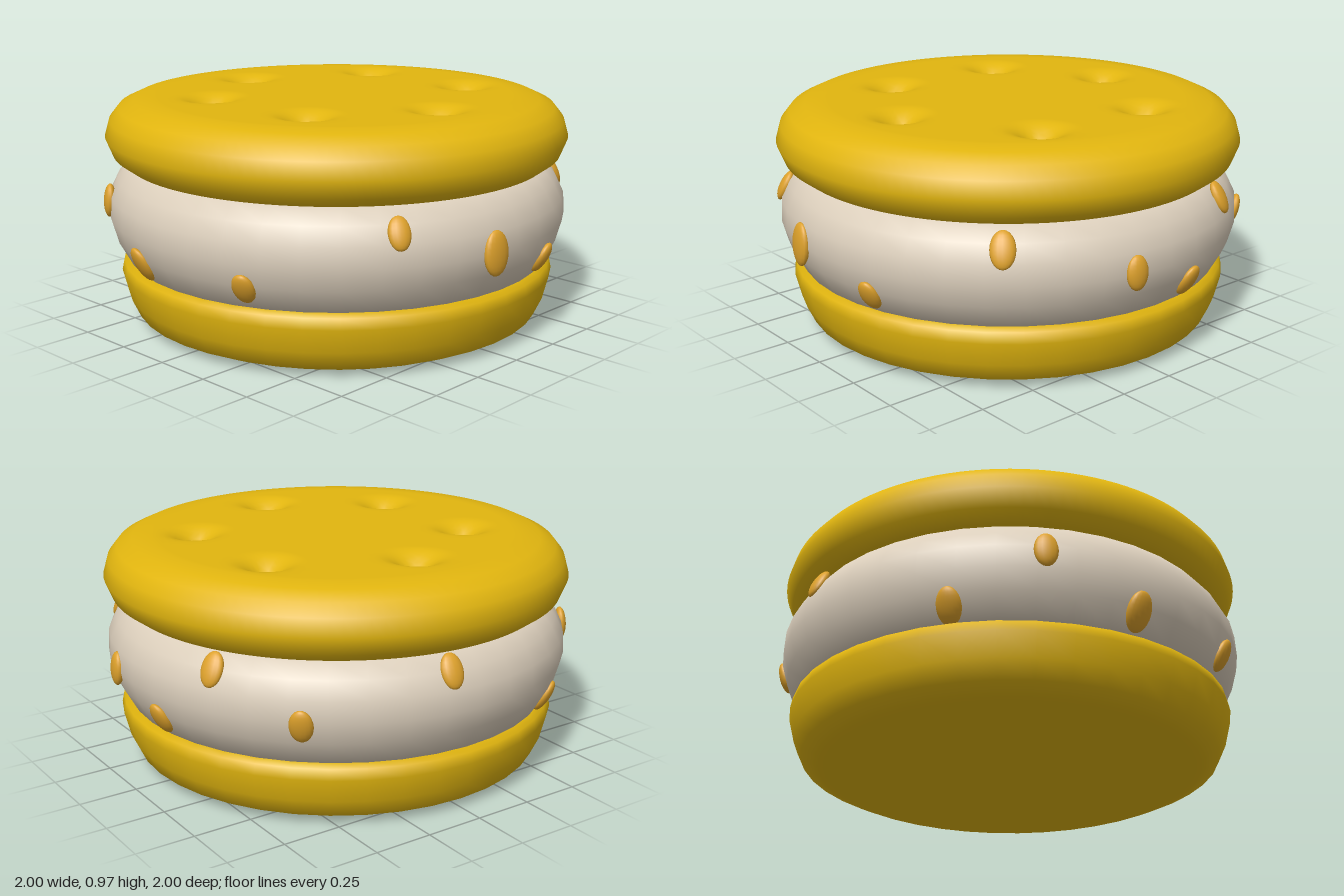
import * as THREE from 'three';
import { mergeVertices } from 'three/addons/utils/BufferGeometryUtils.js';

const cookieMat = new THREE.MeshStandardMaterial({ color: 0xe1b50f });
cookieMat.name = 'goldenCookie';
const fillingMat = new THREE.MeshStandardMaterial({ color: 0xdccfbc });
fillingMat.name = 'creamFilling';
const chipMat = new THREE.MeshStandardMaterial({ color: 0xdda12b });
chipMat.name = 'caramelChip';

// Profile of the filling, [radius, height] from bottom to top
const FILLING = [[0.8, 0.26], [0.91, 0.28], [0.965, 0.38], [0.99, 0.47], [0.985, 0.56], [0.95, 0.63], [0.9, 0.69], [0.8, 0.7]];
const BOTTOM = [[0, 0.005], [0.74, 0.005], [0.81, 0.01], [0.885, 0.045], [0.92, 0.12], [0.945, 0.22], [0.935, 0.265], [0.9, 0.28], [0, 0.28]];
const TOP_EDGE = [[0, 0.69], [0.85, 0.69], [0.91, 0.695], [0.965, 0.735], [0.995, 0.81], [0.975, 0.88], [0.935, 0.93], [0.87, 0.96], [0.79, 0.97]];
const DIMPLES = [[-0.29, -0.53], [0.28, -0.53], [-0.56, 0], [0.57, 0], [-0.29, 0.46], [0.28, 0.46]];

function lathe(name, profile, material, segments) {
  const points = profile.map(([r, y]) => new THREE.Vector2(r, y));
  const mesh = new THREE.Mesh(new THREE.LatheGeometry(points, segments), material);
  mesh.name = name;
  return mesh;
}

// Radius and outward slope of the filling at a height
function fillingAt(y) {
  const i = FILLING.findIndex((p, k) => k > 0 && p[1] >= y);
  const [r0, y0] = FILLING[i - 1], [r1, y1] = FILLING[i];
  const radius = r0 + (r1 - r0) * (y - y0) / (y1 - y0);
  return { radius, tilt: Math.atan2(r1 - r0, y1 - y0) };
}

// Top cookie: fine rings on its upper face, pressed down into funnel dimples
function topCookie() {
  const profile = [...TOP_EDGE];
  for (let r = 0.76; r > 0.01; r -= 0.025) profile.push([r, 0.97]);
  profile.push([0, 0.97]);
  const mesh = lathe('topCookie', profile, cookieMat, 120);
  const source = mesh.geometry;
  const pos = source.attributes.position;
  for (let i = 0; i < pos.count; i++) {
    if (pos.getY(i) < 0.95) continue;
    let sink = 0;
    for (const [x, z] of DIMPLES) {
      const d = Math.hypot(pos.getX(i) - x, pos.getZ(i) - z);
      sink += 0.1 * Math.max(0, 1 - d / 0.16) ** 2;
    }
    pos.setY(i, pos.getY(i) - sink);
  }
  // Weld the seam so the recomputed normals are smooth
  source.deleteAttribute('uv');
  source.deleteAttribute('normal');
  mesh.geometry = mergeVertices(source);
  mesh.geometry.computeVertexNormals();
  return mesh;
}

export function createModel() {
  const model = new THREE.Group();
  model.name = 'sandwichCookie';
  model.add(lathe('bottomCookie', BOTTOM, cookieMat, 40));
  model.add(lathe('filling', FILLING, fillingMat, 40));
  model.add(topCookie());

  // Chips set in the filling: [degrees from front towards +x, height, size]
  const chips = [
    [-34, 0.54, 1], [-11, 0.36, 1.15], [22.5, 0.37, 1], [58, 0.6, 0.95], [82.4, 0.475, 1.28],
    [106, 0.36, 1], [139, 0.61, 1.05], [170, 0.48, 1], [189, 0.36, 1.05], [206, 0.63, 1],
    [228, 0.46, 1], [263, 0.63, 1], [304, 0.335, 1.05],
  ];
  const chipGeometry = new THREE.SphereGeometry(1, 16, 12);
  for (const [degrees, y, size] of chips) {
    const { radius, tilt } = fillingAt(y);
    const angle = THREE.MathUtils.degToRad(degrees);
    const chip = new THREE.Mesh(chipGeometry, chipMat);
    chip.name = 'chip';
    chip.scale.set(0.048 * size, 0.072 * size, 0.026);
    chip.position.set(Math.sin(angle) * radius, y, Math.cos(angle) * radius);
    chip.rotation.set(tilt, angle, 0, 'YXZ');
    model.add(chip);
  }
  return model;
}
